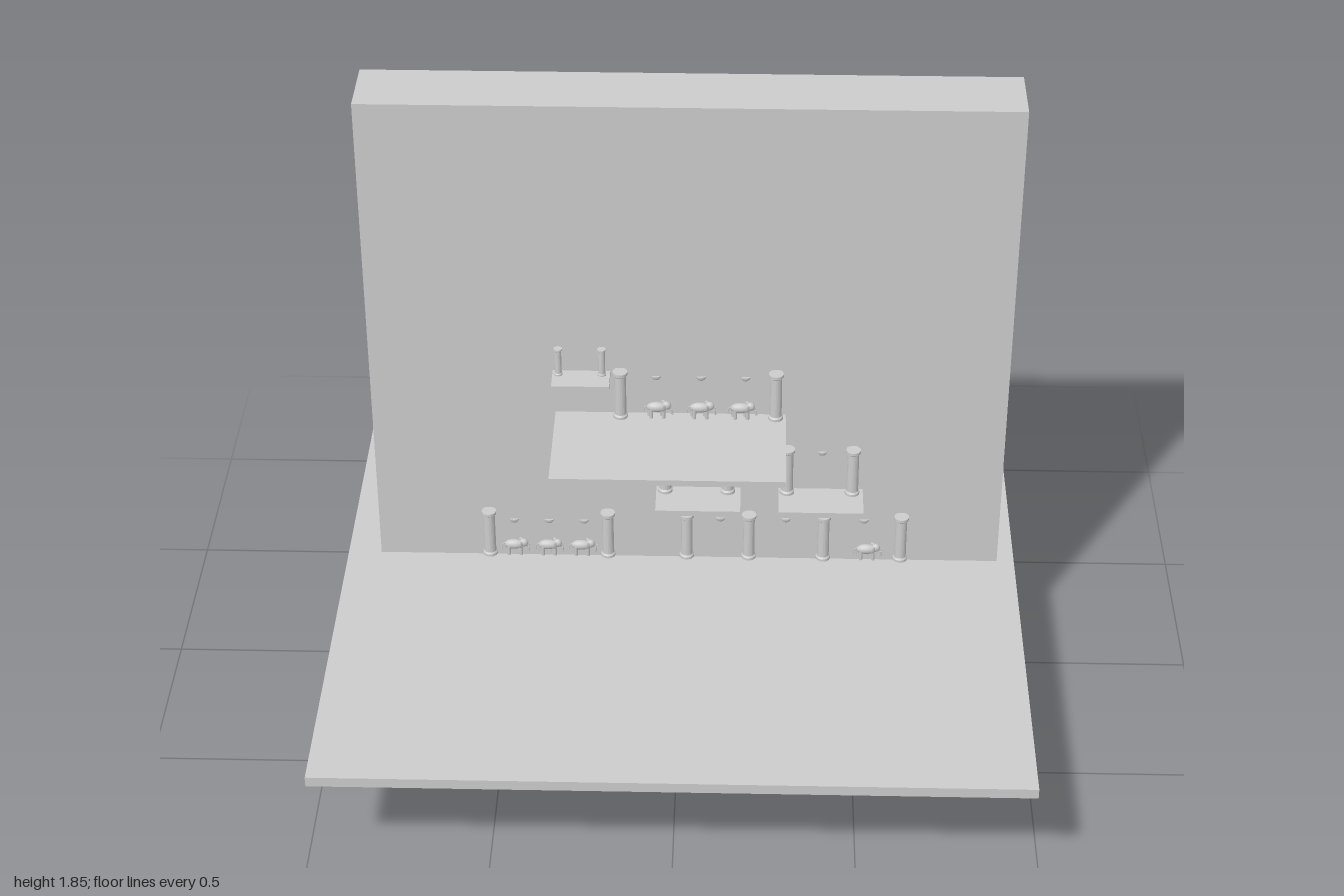
import * as THREE from 'three';

const material = new THREE.MeshStandardMaterial({ color: 0xcccccc });
const doubleSided = new THREE.MeshStandardMaterial({ color: 0xcccccc, side: THREE.DoubleSide });
const WALL_FRONT = -0.007;
const FIGURE_Z = 0.012;

function add(parent, name, geometry, x = 0, y = 0, z = 0, mat = material) {
  const mesh = new THREE.Mesh(geometry, mat);
  mesh.name = name;
  mesh.position.set(x, y, z);
  parent.add(mesh);
  return mesh;
}

// Box given by its limits on each axis
function slab(parent, name, x0, x1, y0, y1, z0, z1) {
  return add(parent, name, new THREE.BoxGeometry(x1 - x0, y1 - y0, z1 - z0),
    (x0 + x1) / 2, (y0 + y1) / 2, (z0 + z1) / 2);
}

// Round column with a stepped base and capital
function column(parent, x, y, height, r) {
  const s = r * 0.82, h = height;
  const profile = [
    [0, 0], [r, 0], [r, h * 0.05], [s, h * 0.08],
    [s * 0.95, h * 0.91], [r, h * 0.94], [r, h], [0, h],
  ].map(([px, py]) => new THREE.Vector2(px, py));
  const mesh = add(parent, 'column', new THREE.LatheGeometry(profile, 20), x, y, FIGURE_Z);
  mesh.material = material;
  mesh.geometry = mesh.geometry.toNonIndexed();
  mesh.geometry.computeVertexNormals();
}

// Half bowl lamp fixed to the wall
function lamp(parent, x, y) {
  const bowl = new THREE.SphereGeometry(0.014, 14, 6, 0, Math.PI * 2, Math.PI / 2, Math.PI / 2);
  const group = new THREE.Group();
  group.name = 'wallLamp';
  group.position.set(x, y, WALL_FRONT);
  group.scale.set(1, 1, 0.5);
  add(group, 'bowl', bowl, 0, 0, 0, doubleSided);
  const rim = add(group, 'bowlTop', new THREE.CircleGeometry(0.014, 14));
  rim.rotation.x = -Math.PI / 2;
  parent.add(group);
}

function limb(parent, name, points, r) {
  const path = new THREE.CatmullRomCurve3(points.map(p => new THREE.Vector3(...p)));
  add(parent, name, new THREE.TubeGeometry(path, 8, r, 6), 0, 0, 0, doubleSided);
}

// Small four-legged animal standing side-on, with trunk, tusks and ears
function animal(parent, x, y) {
  const group = new THREE.Group();
  group.name = 'animal';
  group.position.set(x, y, FIGURE_Z);
  const body = add(group, 'body', new THREE.SphereGeometry(1, 14, 10), -0.003, 0.033, 0);
  body.scale.set(0.029, 0.015, 0.014);
  const head = add(group, 'head', new THREE.SphereGeometry(1, 12, 8), 0.025, 0.038, 0);
  head.scale.set(0.013, 0.013, 0.01);
  limb(group, 'trunk', [[0.034, 0.037, 0], [0.04, 0.026, 0], [0.04, 0.014, 0], [0.044, 0.01, 0]], 0.003);
  limb(group, 'tail', [[-0.029, 0.037, 0], [-0.037, 0.03, 0], [-0.04, 0.015, 0]], 0.0018);
  for (const side of [-1, 1]) {
    const ear = add(group, 'ear', new THREE.SphereGeometry(1, 10, 6), 0.016, 0.037, side * 0.012);
    ear.scale.set(0.008, 0.011, 0.003);
    ear.rotation.y = side * 0.5;
    limb(group, 'tusk', [[0.034, 0.031, side * 0.005], [0.039, 0.027, side * 0.006], [0.045, 0.03, side * 0.006]], 0.0012);
    for (const lx of [-0.021, 0.014]) {
      add(group, 'leg', new THREE.CylinderGeometry(0.0055, 0.005, 0.03, 8), lx + side * 0.003, 0.015, side * 0.007);
    }
  }
  parent.add(group);
}

export function createModel() {
  const model = new THREE.Group();
  model.name = 'wallWithLedges';

  // Wall, floor and ledges
  slab(model, 'wall', -0.877, 0.922, 0, 1.85, -0.206, WALL_FRONT);
  slab(model, 'floor', -0.973, 0.972, 0.34, 0.37, -1, 1);
  slab(model, 'largeLedge', -0.355, 0.297, 0.858, 0.875, -0.342, 0.325);
  slab(model, 'smallLedge', -0.36, -0.198, 1.0, 1.014, -0.05, 0.075);
  slab(model, 'middleLedge', -0.07, 0.172, 0.603, 0.62, -0.05, 0.113);
  slab(model, 'middleLedge', 0.281, 0.523, 0.603, 0.62, -0.05, 0.113);

  // Columns
  for (const x of [-0.555, -0.211, 0.018, 0.198, 0.414, 0.638]) column(model, x, 0.388, 0.15, 0.021);
  for (const x of [-0.17, 0.268]) column(model, x, 0.875, 0.15, 0.021);
  for (const x of [-0.044, 0.135, 0.305, 0.492]) column(model, x, 0.62, 0.15, 0.021);
  for (const x of [-0.343, -0.221]) column(model, x, 1.014, 0.085, 0.012);

  // Animals
  for (const x of [-0.482, -0.383, -0.287, 0.542]) animal(model, x, 0.388);
  for (const x of [-0.065, 0.057, 0.172]) animal(model, x, 0.875);

  // Wall lamps
  for (const x of [-0.484, -0.383, -0.281]) lamp(model, x, 0.498);
  for (const x of [0.115, 0.305, 0.531]) lamp(model, x, 0.513);
  for (const x of [-0.07, 0.057, 0.182]) lamp(model, x, 1.0);
  for (const x of [0.049, 0.404]) lamp(model, x, 0.75);

  return model;
}
